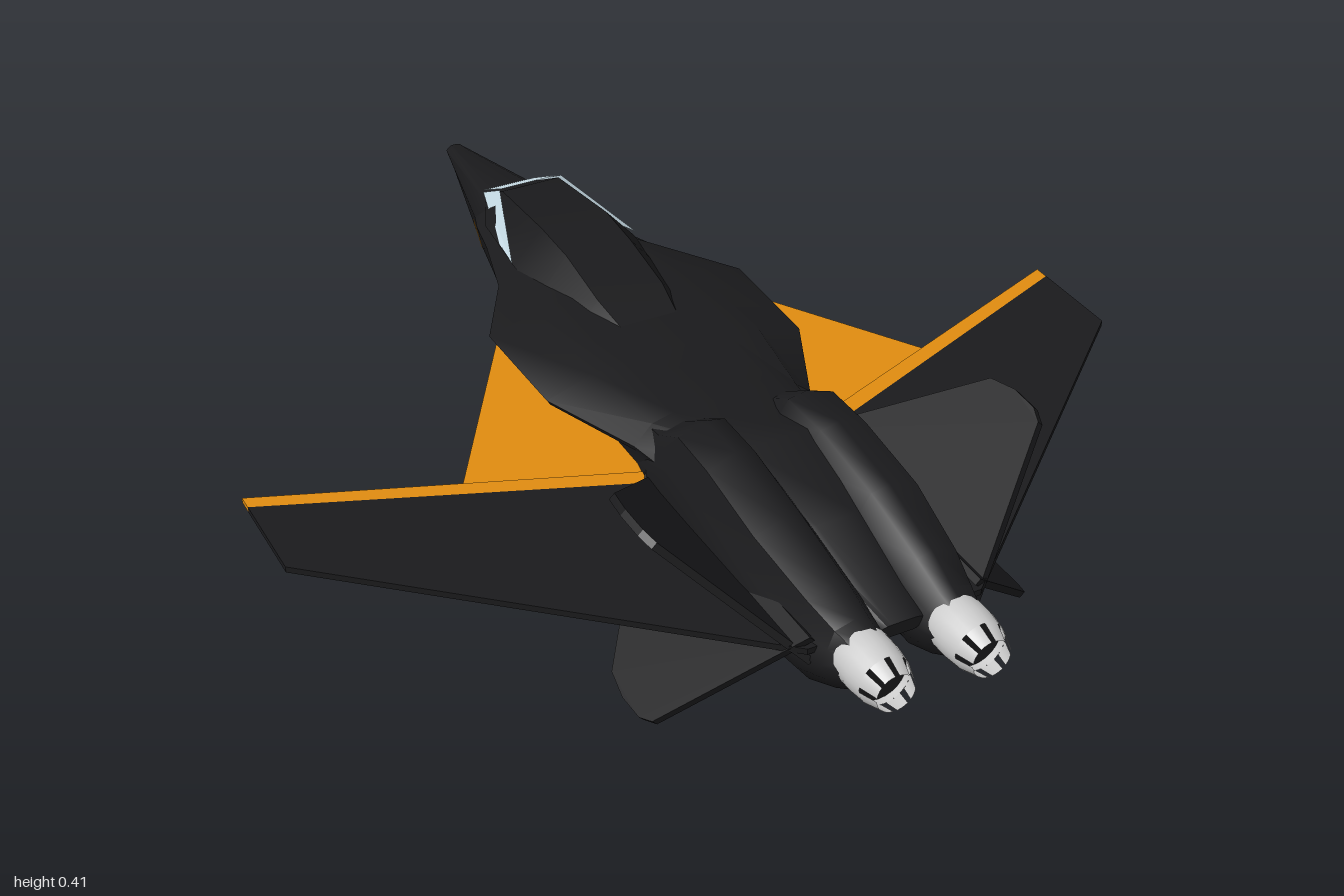
import * as THREE from 'three';
import { toCreasedNormals } from 'three/addons/utils/BufferGeometryUtils.js';

const mat = (color) => new THREE.MeshStandardMaterial({ color, side: THREE.DoubleSide });
const black = mat(0x1a1a1c), orange = mat(0xe08c10), glass = mat(0xcfe4ee), grey = mat(0xcccccc);

// Skin over closed rings; each ring is { z, pts } with pts counter-clockwise seen from +z.
function loft(rings, crease = 0.7) {
  const pos = [], idx = [], n = rings[0].pts.length, last = (rings.length - 1) * n;
  rings.forEach(({ z, pts }) => pts.forEach(([x, y]) => pos.push(x, y, z)));
  for (let i = 0; i < rings.length - 1; i++) {
    for (let j = 0; j < n; j++) {
      const a = i * n + j, b = i * n + (j + 1) % n;
      idx.push(a, b, a + n, b, b + n, a + n);
    }
  }
  for (let j = 1; j < n - 1; j++) idx.push(0, j + 1, j, last, last + j, last + j + 1);
  const g = new THREE.BufferGeometry();
  g.setAttribute('position', new THREE.Float32BufferAttribute(pos, 3));
  g.setIndex(idx);
  return toCreasedNormals(g, crease);
}

// Full ring from its +x half, listed bottom to top.
const mirrorRing = (half) => [...half, ...half.map(([x, y]) => [-x, y]).reverse()];

// Flat slab from an outline of (x, z) corners, centred on y = 0.
function plate(outline, thickness) {
  const shape = new THREE.Shape(outline.map(([x, z]) => new THREE.Vector2(x, z)));
  return new THREE.ExtrudeGeometry(shape, { depth: thickness, bevelEnabled: false })
    .translate(0, 0, -thickness / 2).rotateX(Math.PI / 2);
}

// Single-sheet panel from four corners.
function panel(a, b, c, d) {
  const g = new THREE.BufferGeometry();
  g.setAttribute('position', new THREE.Float32BufferAttribute([a, b, c, a, c, d].flat(), 3));
  g.computeVertexNormals();
  return g;
}

export function createModel() {
  const model = new THREE.Group();
  const add = (name, geometry, material) => {
    const mesh = new THREE.Mesh(geometry, material);
    mesh.name = name;
    model.add(mesh);
    return mesh;
  };

  // Fuselage: z, top half-width, top y, chine half-width, chine y, lower x, lower y, bottom half-width, bottom y
  const body = [
    [-1.0, 0.008, 0.226, 0.02, 0.216, 0.016, 0.21, 0.008, 0.205],
    [-0.7, 0.052, 0.268, 0.083, 0.215, 0.078, 0.17, 0.04, 0.125],
    [-0.65, 0.06, 0.268, 0.1, 0.22, 0.09, 0.17, 0.05, 0.13],
    [-0.55, 0.075, 0.266, 0.122, 0.23, 0.11, 0.17, 0.06, 0.139],
    [-0.37, 0.11, 0.285, 0.175, 0.25, 0.145, 0.18, 0.08, 0.14],
    [-0.19, 0.12, 0.297, 0.275, 0.262, 0.18, 0.2, 0.12, 0.127],
    [0.06, 0.13, 0.3, 0.27, 0.262, 0.18, 0.19, 0.12, 0.125],
    [0.25, 0.13, 0.3, 0.185, 0.25, 0.18, 0.18, 0.12, 0.125],
    [0.45, 0.09, 0.335, 0.15, 0.25, 0.14, 0.18, 0.08, 0.127],
    [0.65, 0.05, 0.29, 0.1, 0.24, 0.1, 0.19, 0.05, 0.135],
    [0.87, 0.025, 0.225, 0.04, 0.222, 0.035, 0.205, 0.025, 0.2],
  ];
  add('fuselage', loft(body.map(([z, tw, ty, w, cy, lw, ly, bw, by]) => ({
    z, pts: mirrorRing([[bw, by], [lw, ly], [w * 0.97, cy - 0.012 * Math.min(1, w / 0.1)],
      [w, cy], [(tw * 2 + w) / 3, ty - (ty - cy) * 0.22], [tw * 0.8, ty]]),
  }))), black);

  // Cockpit hump: z, base half-width, base y, top half-width, top y
  const hump = [
    [-0.7, 0.058, 0.255, 0.055, 0.268], [-0.59, 0.105, 0.255, 0.064, 0.328],
    [-0.38, 0.135, 0.278, 0.072, 0.35], [-0.27, 0.13, 0.27, 0.07, 0.344],
    [-0.13, 0.11, 0.27, 0.07, 0.318], [-0.05, 0.08, 0.27, 0.06, 0.298],
  ];
  add('canopyFairing', loft(hump.map(([z, bw, by, tw, ty]) => ({
    z, pts: mirrorRing([[bw, by], [tw, ty]]),
  }))), black);
  add('windscreen', panel([-0.057, 0.272, -0.705], [-0.066, 0.333, -0.592],
    [0.066, 0.333, -0.592], [0.057, 0.272, -0.705]), glass);

  // Nacelle: z, outer x, inner x, top y, bottom y, half-width of the flat top
  const nacelle = [
    [0.2, 0.175, 0.03, 0.285, 0.13, 0.03], [0.29, 0.19, 0.02, 0.305, 0.125, 0.035],
    [0.37, 0.195, 0.01, 0.355, 0.117, 0.035], [0.48, 0.198, 0.01, 0.355, 0.105, 0.035],
    [0.65, 0.2, 0.012, 0.328, 0.09, 0.035], [0.8, 0.178, 0.02, 0.29, 0.1, 0.035],
    [0.87, 0.158, 0.03, 0.265, 0.13, 0.03], [0.92, 0.14, 0.042, 0.25, 0.16, 0.025],
  ];
  const nacelleRing = ([, xo, xi, ty, by, tw]) => {
    const c = (xo + xi) / 2, r = (xo - xi) / 2, h = ty - by;
    return [[c - tw, by + 0.01 * h], [c + tw, by], [c + 0.8 * r, by + 0.2 * h], [xo, by + 0.45 * h],
      [c + 0.8 * r, by + 0.66 * h], [c + 0.6 * r, by + 0.92 * h], [c, ty], [c - 0.4 * r, ty - 0.03 * h],
      [c - 0.75 * r, by + 0.75 * h], [xi, by + 0.5 * h], [c - 0.75 * r, by + 0.2 * h]];
  };

  for (const s of [1, -1]) {
    const side = s > 0 ? 'left' : 'right';
    const flip = (pts) => pts.map(([x, ...rest]) => [x * s, ...rest]);

    add(side + 'Nacelle', loft(nacelle.map((row) => {
      const pts = nacelleRing(row);
      return { z: row[0], pts: s > 0 ? pts : flip(pts).reverse() };
    }), 0.9), black);

    add(side + 'SideWindow', panel(...flip([[0.061, 0.27, -0.7], [0.07, 0.332, -0.59],
      [0.139, 0.286, -0.38], [0.116, 0.266, -0.5]])), glass);

    // Orange marking along the nose
    add(side + 'NoseStripe', panel(...flip([[0.0855, 0.2, -0.7], [0.0865, 0.214, -0.7],
      [0.116, 0.214, -0.59], [0.114, 0.2, -0.59]])), orange);

    // Wing, its leading edge strip and the root extension ahead of it
    add(side + 'Wing', plate(flip([[0.1, 0.355], [0.855, 0.058], [0.855, 0.25], [0.17, 0.85], [0.1, 0.85]]), 0.012)
      .translate(0, 0.21, 0), black);
    add(side + 'WingLeadingEdge', plate(flip([[0.1, 0.315], [0.855, 0.026], [0.855, 0.058], [0.1, 0.355]]), 0.01)
      .translate(0, 0.21, 0), orange);
    add(side + 'WingRootExtension', plate(flip([[0.12, -0.3], [0.195, -0.31], [0.49, 0.17], [0.12, 0.31]]), 0.006)
      .translate(0, 0.21, 0), orange);

    // Tail fins canted up and down
    for (const up of [1, -1]) {
      const outline = [[-0.04, 0.27], [0.265, 0.55], [0.278, 0.61], [0.276, 0.67], [0.262, 0.7], [-0.04, 0.85]];
      add(side + (up > 0 ? 'UpperFin' : 'LowerFin'),
        plate(flip(outline), 0.014).rotateZ(s * up * 0.785).translate(s * 0.19, 0.21 + up * 0.004, 0), black);
    }

    // Exhaust nozzle: ribbed can, eight petals and a dark core
    const nozzle = new THREE.Group();
    nozzle.name = side + 'Nozzle';
    nozzle.position.set(s * 0.092, 0.205, 0);
    const part = (name, geometry, material) => {
      const mesh = new THREE.Mesh(geometry, material);
      mesh.name = name;
      nozzle.add(mesh);
    };
    const profile = [[0.045, 0.86], [0.053, 0.89], [0.053, 0.93], [0.049, 0.965]];
    part('nozzleCan', new THREE.LatheGeometry(profile.map(([r, z]) => new THREE.Vector2(r, z)), 24)
      .rotateX(Math.PI / 2), grey);
    for (let i = 0; i < 8; i++) {
      const petal = new THREE.CylinderGeometry(0.037, 0.049, 0.035, 3, 1, true, i * Math.PI / 4 + 0.1, Math.PI / 4 - 0.2);
      part('nozzlePetal', petal.rotateX(Math.PI / 2).translate(0, 0, 0.9825), grey);
    }
    part('nozzleCore', new THREE.CircleGeometry(0.05, 24).translate(0, 0, 0.95), black);
    model.add(nozzle);
  }
  return model;
}
